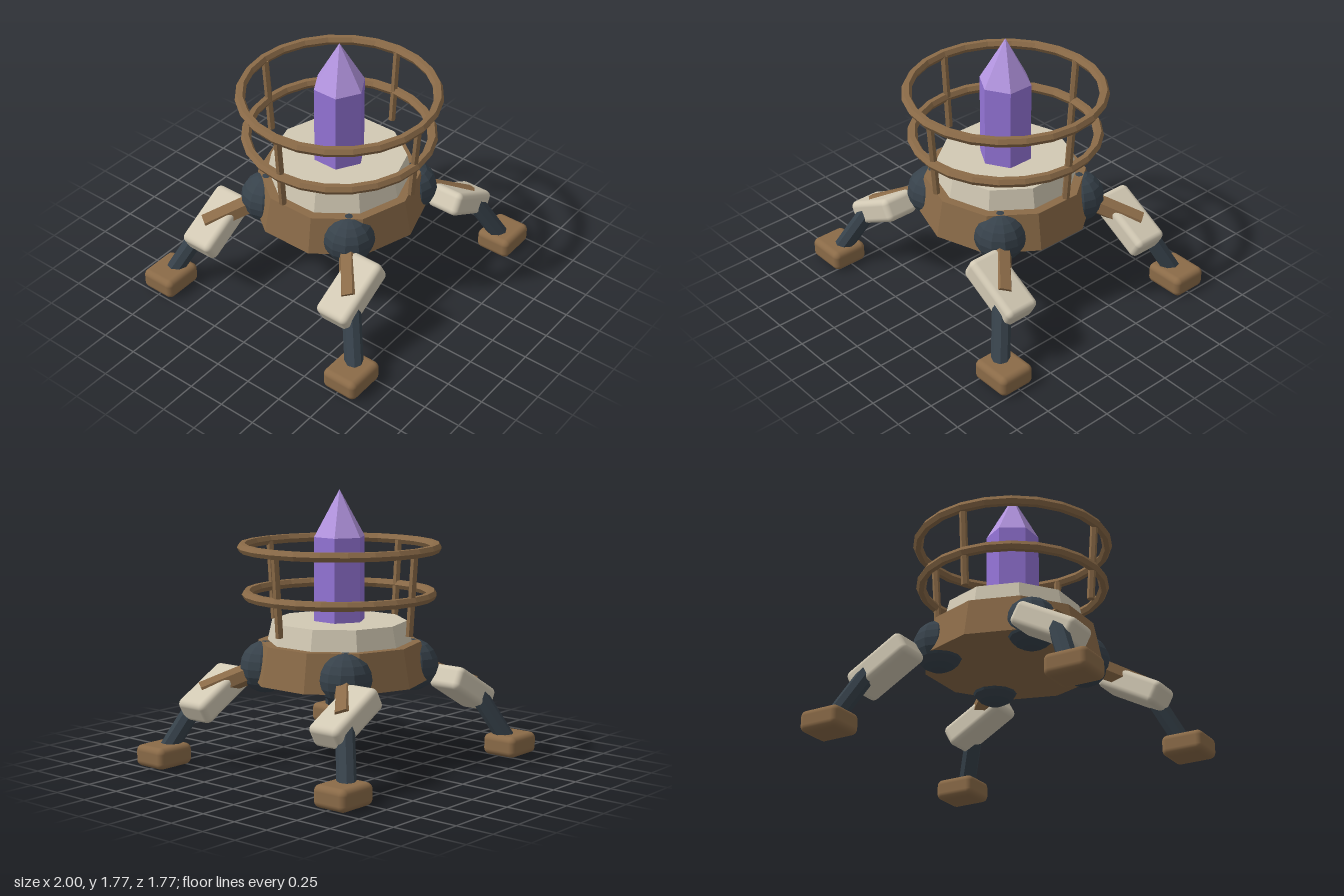
import * as THREE from 'three';
import { RoundedBoxGeometry } from 'three/addons/geometries/RoundedBoxGeometry.js';

function material(name, color, flatShading = true) {
  const m = new THREE.MeshStandardMaterial({ color, flatShading });
  m.name = name;
  return m;
}

export function createModel() {
  const brown = material('brown', 0x8b6b48);
  const cream = material('cream', 0xd2c9b4);
  const dark = material('dark steel', 0x37424b);
  const purple = material('crystal purple', 0x9575d8);
  const lilac = material('crystal tip lilac', 0xb596e2);
  // rounded parts share the colours but shade smoothly
  const brownSmooth = material('brown smooth', 0x8b6b48, false);
  const creamSmooth = material('cream smooth', 0xd2c9b4, false);

  const model = new THREE.Group();
  model.name = 'crystalWalker';

  const add = (parent, name, geometry, mat, x = 0, y = 0, z = 0) => {
    const mesh = new THREE.Mesh(geometry, mat);
    mesh.name = name;
    mesh.position.set(x, y, z);
    parent.add(mesh);
    return mesh;
  };

  // straight rod between two points
  const rod = (parent, name, from, to, radius, sides, mat) => {
    const a = new THREE.Vector3(...from), b = new THREE.Vector3(...to);
    const dir = b.clone().sub(a);
    const mesh = add(parent, name, new THREE.CylinderGeometry(radius, radius, dir.length(), sides), mat);
    mesh.position.copy(a).add(b).multiplyScalar(0.5);
    mesh.quaternion.setFromUnitVectors(new THREE.Vector3(0, 1, 0), dir.normalize());
  };

  // ten-sided body and deck
  add(model, 'body', new THREE.CylinderGeometry(0.53, 0.58, 0.25, 10), brown, 0, 0.668, 0);
  add(model, 'deck', new THREE.CylinderGeometry(0.44, 0.47, 0.135, 10), cream, 0, 0.86, 0);

  // hexagonal crystal
  add(model, 'crystalShaft', new THREE.CylinderGeometry(0.173, 0.173, 0.57, 6), purple, 0, 1.187, 0);
  add(model, 'crystalTip', new THREE.ConeGeometry(0.173, 0.302, 6), lilac, 0, 1.623, 0);

  // railing: two rings and four leaning posts
  const railing = new THREE.Group();
  railing.name = 'railing';
  model.add(railing);
  for (const [name, radius, y] of [['upperRail', 0.628, 1.405], ['lowerRail', 0.6, 1.1]]) {
    add(railing, name, new THREE.TorusGeometry(radius, 0.033, 6, 24), brown, 0, y, 0).rotation.x = Math.PI / 2;
  }
  for (let i = 0; i < 4; i++) {
    const s = Math.sin(i * Math.PI / 2), c = Math.cos(i * Math.PI / 2);
    rod(railing, 'railPost', [0.575 * s, 0.88, 0.575 * c], [0.613 * s, 1.4, 0.613 * c], 0.025, 6, brown);
  }

  // four mirrored legs
  const hipGeo = new THREE.SphereGeometry(0.17, 12, 10);
  const kneeGeo = new RoundedBoxGeometry(0.45, 0.16, 0.24, 3, 0.04);
  const footGeo = new RoundedBoxGeometry(0.284, 0.14, 0.25, 3, 0.04);
  for (const sx of [-1, 1]) {
    for (const sz of [-1, 1]) {
      const leg = new THREE.Group();
      leg.name = (sz > 0 ? 'front' : 'back') + (sx > 0 ? 'Left' : 'Right') + 'Leg';
      model.add(leg);
      add(leg, 'hipBall', hipGeo, dark, 0.34 * sx, 0.627, 0.34 * sz);
      rod(leg, 'upperStrut', [0.34 * sx, 0.627, 0.34 * sz], [0.66 * sx, 0.47, 0.6 * sz], 0.07, 6, brown);
      add(leg, 'kneeArmor', kneeGeo, creamSmooth, 0.596 * sx, 0.463, 0.56 * sz).rotation.z = -0.506 * sx;
      rod(leg, 'lowerStrut', [0.66 * sx, 0.46, 0.605 * sz], [0.83 * sx, 0.09, 0.765 * sz], 0.06, 8, dark);
      add(leg, 'foot', footGeo, brownSmooth, 0.858 * sx, 0.072, 0.762 * sz);
    }
  }
  return model;
}
